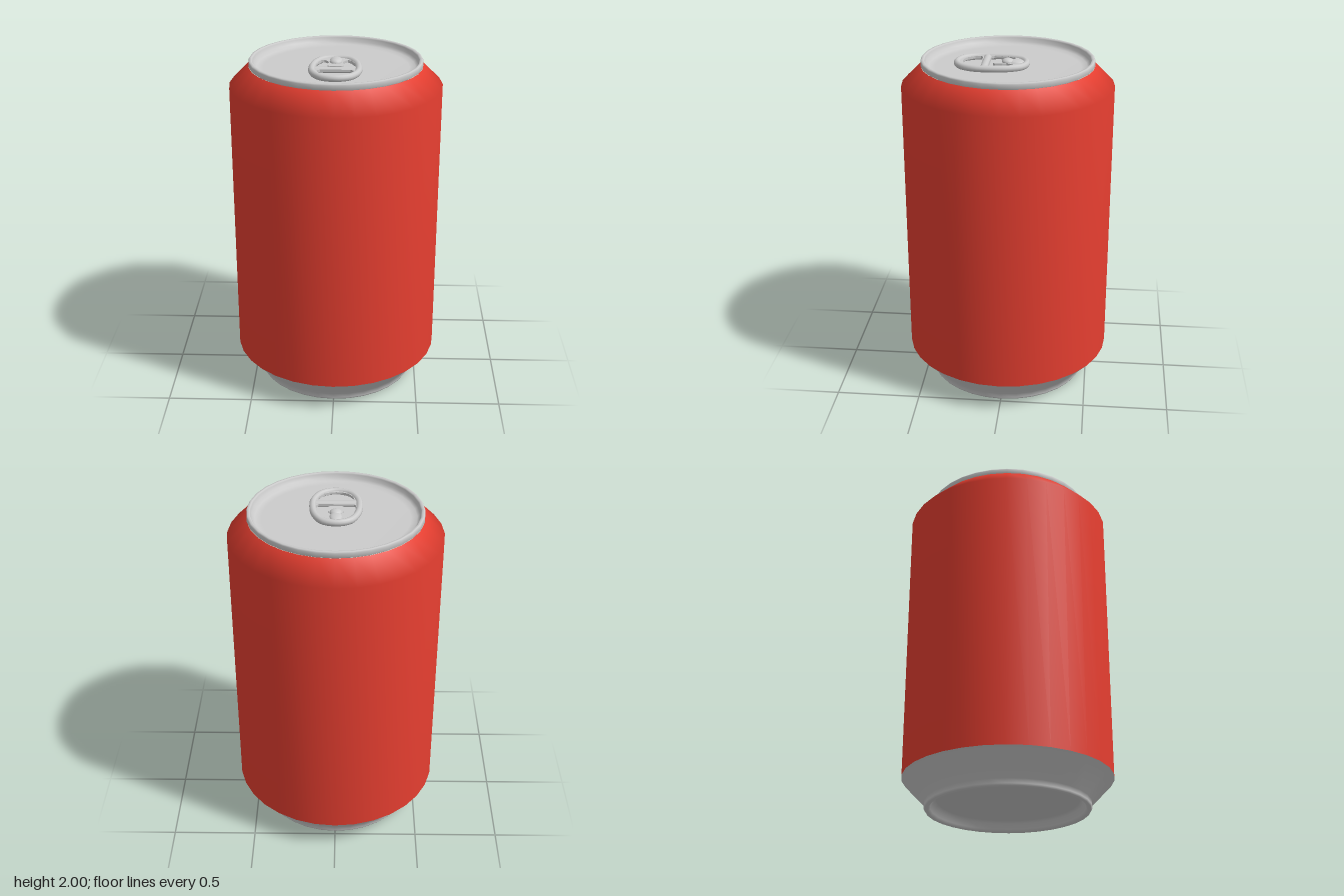
import * as THREE from 'three';

const GREY = new THREE.MeshStandardMaterial({ color: 0xcccccc });
const RED = new THREE.MeshStandardMaterial({ color: 0xe53e30 });
const LID_Y = 1.95;
const TAB_Y = 1.968;

function add(parent, name, geometry, material = GREY) {
  const mesh = new THREE.Mesh(geometry, material);
  mesh.name = name;
  parent.add(mesh);
  return mesh;
}

// Profile points are [radius, height], ordered so the surface faces outward
function lathe(points) {
  return new THREE.LatheGeometry(points.map(([r, y]) => new THREE.Vector2(r, y)), 32);
}

// Right half of an outline [x, z] mirrored to a full closed loop
function mirrored(half) {
  const left = half.filter(([x]) => x > 0).reverse().map(([x, z]) => [-x, z]);
  return [...half, ...left];
}

function createTab() {
  const tab = new THREE.Group();
  tab.name = 'pullTab';

  // Egg-shaped rolled edge
  const egg = mirrored([[0, -0.107], [0.075, -0.082], [0.117, -0.01], [0.133, 0.1],
    [0.123, 0.19], [0.078, 0.265], [0, 0.292]]);
  const curve = new THREE.CatmullRomCurve3(egg.map(([x, z]) => new THREE.Vector3(x, 0, z)), true);
  add(tab, 'tabRim', new THREE.TubeGeometry(curve, 48, 0.02, 10, true));

  // Thin plate with a finger hole and a hole around the tongue
  const plate = new THREE.Shape(curve.getPoints(48).map((p) => new THREE.Vector2(p.x, p.z)));
  const fingerHole = mirrored([[0, 0.152], [0.085, 0.152], [0.104, 0.168], [0.098, 0.2],
    [0.07, 0.24], [0.035, 0.256], [0, 0.26]]);
  const tongueHole = mirrored([[0, 0.085], [0.035, 0.083], [0.045, 0.07], [0.045, 0.03],
    [0.04, 0.005], [0.052, -0.025], [0.068, -0.04], [0.085, -0.035], [0.104, 0.01],
    [0.113, 0.06], [0.113, 0.09], [0.1, 0.105], [0, 0.105]]);
  // The tongue hole wraps round the tongue, so it closes beneath the tongue tip
  for (const hole of [fingerHole, tongueHole]) {
    plate.holes.push(new THREE.Path(hole.map(([x, z]) => new THREE.Vector2(x, z))));
  }
  const plateGeometry = new THREE.ExtrudeGeometry(plate, { depth: 0.014, bevelEnabled: false });
  plateGeometry.rotateX(Math.PI / 2);
  add(tab, 'tabPlate', plateGeometry).position.y = 0.008;

  // Rounded bar between the holes
  const bar = add(tab, 'tabCrossbar', new THREE.CylinderGeometry(0.022, 0.022, 0.23, 12).rotateZ(Math.PI / 2));
  bar.scale.y = 0.75;
  bar.position.z = 0.128;

  // Rivet with its raised neck
  const rivet = add(tab, 'rivet', new THREE.SphereGeometry(0.036, 16, 10));
  rivet.scale.y = 0.6;
  rivet.position.set(0, 0.008, 0);
  const neck = add(tab, 'rivetNeck', new THREE.SphereGeometry(0.036, 16, 10));
  neck.scale.set(1, 0.45, 1.5);
  neck.position.set(0, 0.005, -0.045);

  tab.position.y = TAB_Y;
  return tab;
}

export function createModel() {
  const can = new THREE.Group();
  can.name = 'drinkCan';

  // Base with a recessed underside and tapered foot
  add(can, 'base', lathe([[0, 0.06], [0.41, 0.06], [0.43, 0.045], [0.445, 0.015], [0.457, 0],
    [0.475, 0], [0.482, 0.012], [0.482, 0.04], [0.615, 0.18]]));

  // Painted wall and shoulder
  add(can, 'body', lathe([[0.615, 0.18], [0.615, 1.85], [0.5, 1.965]]), RED);

  // Lid with a raised rim and sunken floor
  add(can, 'lid', lathe([[0.49, 1.96], [0.5, 1.967], [0.5, 1.992], [0.495, 2], [0.482, 2],
    [0.476, 1.992], [0.472, 1.97], [0.455, 1.956], [0.42, LID_Y], [0, LID_Y]]));

  can.add(createTab());
  return can;
}
